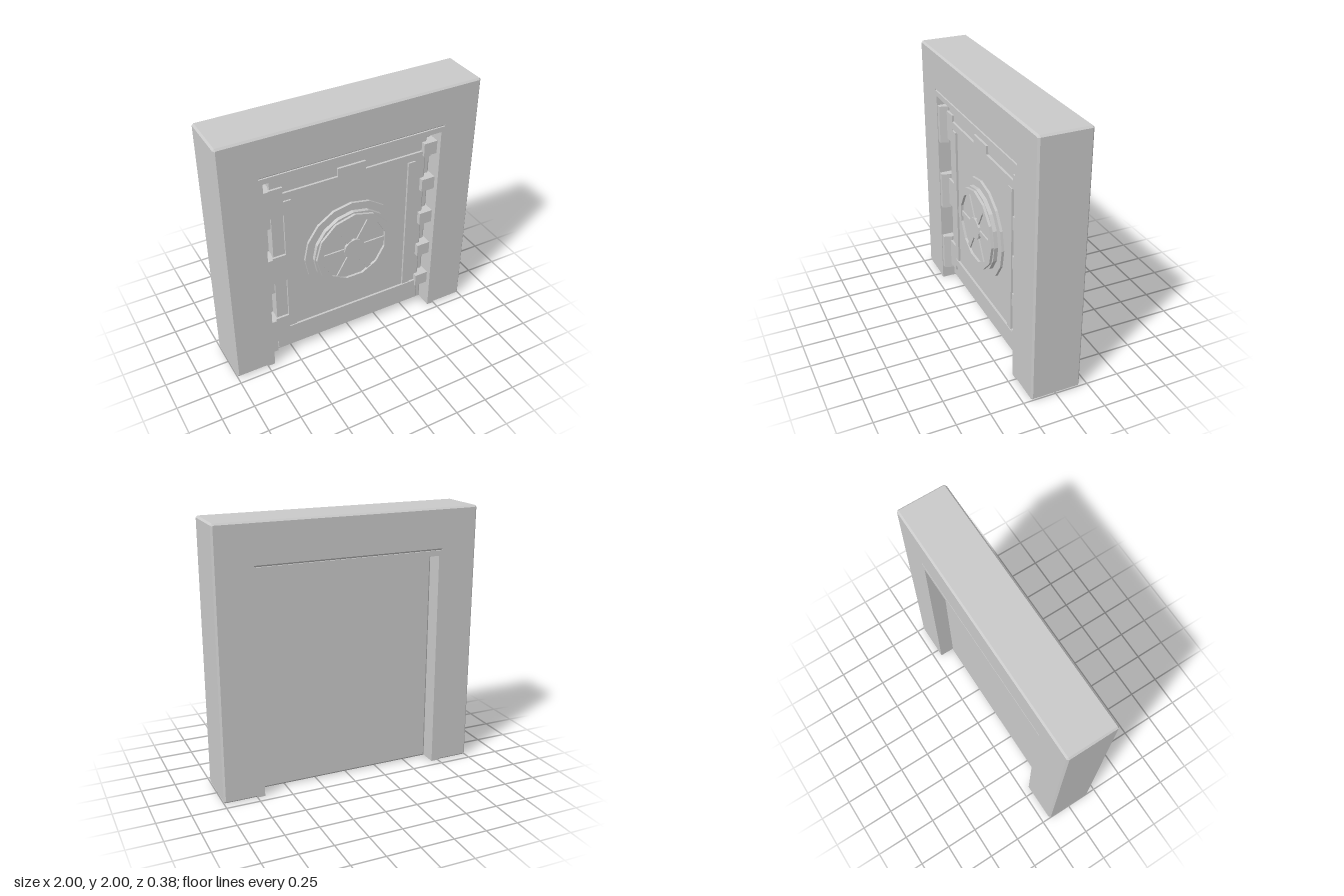
import * as THREE from 'three';

const steel = new THREE.MeshStandardMaterial({ color: 0xcacaca });
steel.name = 'grey steel';

function outline(points) {
  return new THREE.Shape(points.map(([x, y]) => new THREE.Vector2(x, y)));
}

// Extrude an outline from z0 to z1; the bevel stays inside the given outer size
function plate(shape, z0, z1, bevel = 0) {
  const geo = new THREE.ExtrudeGeometry(shape, {
    depth: z1 - z0 - 2 * bevel, bevelEnabled: bevel > 0, bevelSegments: 1,
    bevelSize: bevel, bevelThickness: bevel, bevelOffset: -bevel,
  });
  return geo.translate(0, 0, z0 + bevel);
}

function rect(x0, x1, y0, y1) {
  return outline([[x0, y0], [x1, y0], [x1, y1], [x0, y1]]);
}

function ngon(r, sides, turn = 0) {
  const pts = [];
  for (let i = 0; i < sides; i++) {
    const a = turn + (i / sides) * Math.PI * 2;
    pts.push([Math.sin(-a) * r, Math.cos(a) * r]);
  }
  return outline(pts);
}

export function createModel() {
  const model = new THREE.Group();
  model.name = 'vaultDoor';
  const add = (name, geo, parent = model) => {
    const mesh = new THREE.Mesh(geo, steel);
    mesh.name = name;
    parent.add(mesh);
    return mesh;
  };
  const box = (name, x0, x1, y0, y1, z0, z1, bevel = 0, parent = model) =>
    add(name, plate(rect(x0, x1, y0, y1), z0, z1, bevel), parent);

  // Surrounding wall frame, chamfered on every outer edge
  const c = 0.013;
  add('frame', plate(outline([
    [-1 + c, 0], [-0.72, 0], [-0.72, 1.69], [0.72, 1.69], [0.72, 0], [1 - c, 0],
    [1, c], [1, 2 - c], [1 - c, 2], [-1 + c, 2], [-1, 2 - c], [-1, c],
  ]), -0.19, 0.19, c));

  // Flush door casing, leaving a thin groove under the lintel
  add('casing', plate(outline([
    [-0.75, 0], [-0.693, 0], [-0.693, 1.65], [0.693, 1.65], [0.693, 0], [0.75, 0],
    [0.75, 1.72], [0.72, 1.72], [0.72, 1.69], [-0.72, 1.69], [-0.72, 1.72], [-0.75, 1.72],
  ]), -0.19, 0.19));

  // Door slab and raised panel
  box('doorSlab', -0.693, 0.693, 0, 1.65, -0.08, 0.075, 0.018);
  box('doorPanel', -0.635, 0.63, 0.06, 1.635, 0.05, 0.115, 0.015);

  // Stiles and locking bars, level with the hinge leaves
  const trimZ = 0.132;
  for (const s of [-1, 1]) {
    box('stile', s * 0.5 - 0.03, s * 0.5 + 0.03, 0.275, 1.42, 0.1, trimZ);
  }
  add('topBar', plate(outline([
    [-0.53, 1.43], [0.655, 1.43], [0.655, 1.49], [0.11, 1.49],
    [0.11, 1.555], [-0.11, 1.555], [-0.11, 1.49], [-0.53, 1.49],
  ]), 0.1, trimZ));
  box('bottomBar', -0.53, 0.63, 0.2, 0.265, 0.1, trimZ);

  // Hinges: wedge block on the jamb and leaf on the door
  for (const y of [0.27, 0.848, 1.425]) {
    const hinge = new THREE.Group();
    hinge.name = 'hinge';
    model.add(hinge);
    const block = plate(outline([
      [-0.693, -0.185], [-0.655, -0.185], [-0.635, -0.12], [-0.635, -0.03], [-0.693, -0.03],
    ]), -0.15, 0.15);
    block.rotateX(-Math.PI / 2);
    block.translate(0, y, 0);
    add('hingeBlock', block, hinge);
    box('hingeLeaf', -0.645, -0.53, y - 0.115, y + 0.115, 0.08, trimZ, 0, hinge);
  }

  // Locking bolts
  for (let i = 0; i < 5; i++) {
    const y = 0.27 + i * 0.309;
    box('bolt', 0.585, 0.693, y - 0.052, y + 0.052, 0.05, 0.15);
  }

  // Hand wheel
  const wheel = new THREE.Group();
  wheel.name = 'wheel';
  wheel.position.y = 0.85;
  model.add(wheel);
  add('wheelFlange', plate(ngon(0.383, 16), 0.1, 0.135), wheel);
  add('wheelBase', plate(ngon(0.322, 16), 0.12, 0.165), wheel);
  const rim = ngon(0.312, 12);
  rim.holes.push(ngon(0.264, 12, Math.PI / 12));
  add('wheelRim', plate(rim, 0.14, 0.184), wheel);
  add('wheelHub', plate(ngon(0.085, 12), 0.14, 0.184), wheel);
  for (let i = 0; i < 6; i++) {
    const spoke = box('spoke', 0.05, 0.265, -0.02, 0.02, 0.14, 0.176, 0, wheel);
    spoke.rotation.z = (i * Math.PI) / 3;
  }
  return model;
}
